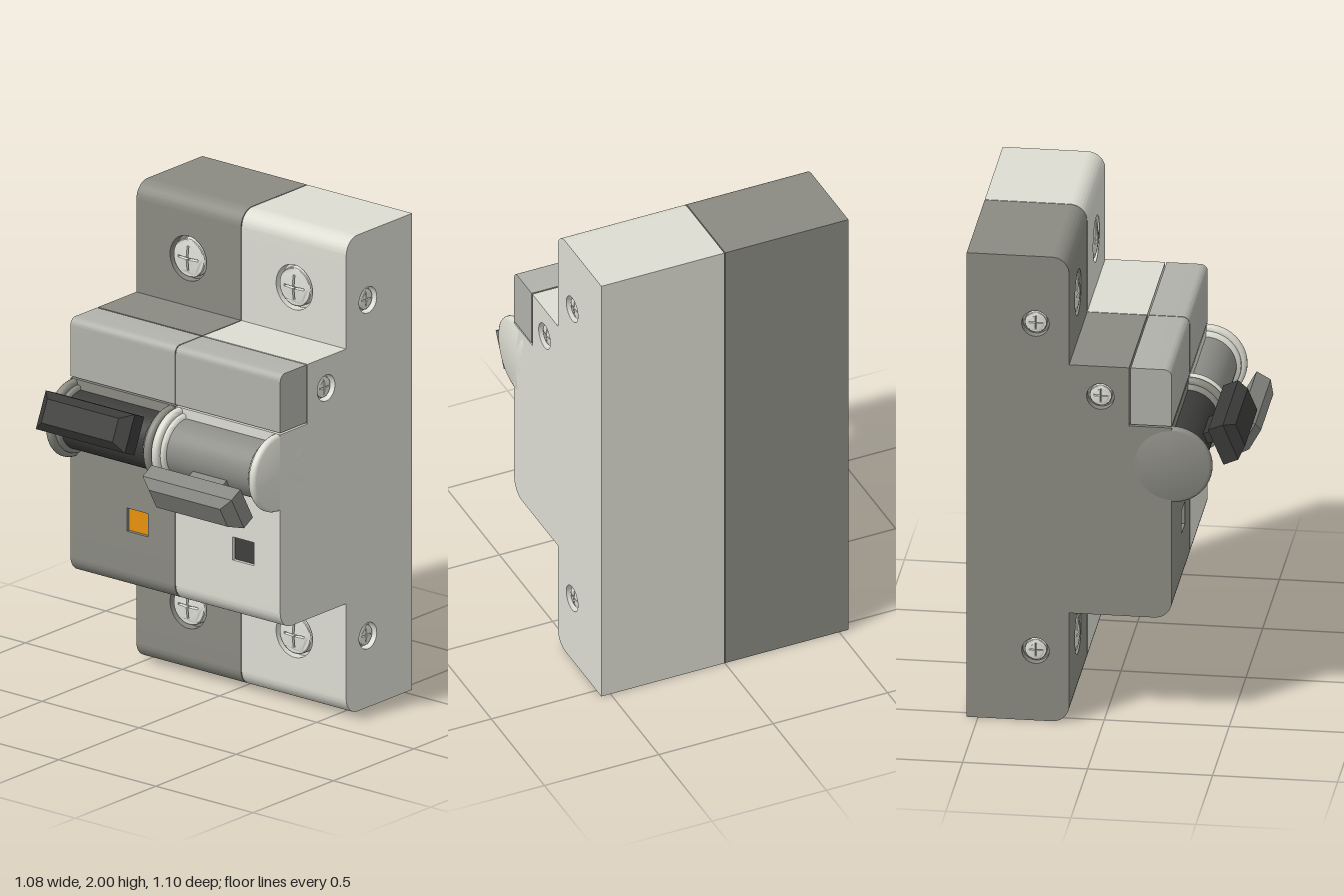
import * as THREE from 'three';
import { toCreasedNormals } from 'three/addons/utils/BufferGeometryUtils.js';

const W = 0.54, GAP = 0.002;           // module width, half the seam between modules
const BACK = -0.545, STEP = -0.135, FRONT = 0.275;
const AXIS_Y = 1.128;                  // height of the toggle axle (at z = FRONT)
const RECESS = 0.04;                   // thickness of the faceplates with openings
const SIDE_SCREWS = [[-0.27, 1.71], [-0.01, 1.41], [-0.27, 0.3]]; // z, y

function add(parent, name, geometry, color) {
  const mesh = new THREE.Mesh(geometry, new THREE.MeshStandardMaterial({ color }));
  mesh.name = name;
  parent.add(mesh);
  return mesh;
}

function circle(x, y, r) {
  return new THREE.Path().absarc(x, y, r, 0, Math.PI * 2, true);
}

function rect(Type, x0, y0, x1, y1) {
  return new Type([[x0, y0], [x1, y0], [x1, y1], [x0, y1]].map(p => new THREE.Vector2(...p)));
}

// Extrudes a (z, y) profile along x, from x0 to x1
function extrudeX(shape, x0, x1) {
  const geo = new THREE.ExtrudeGeometry(shape, { depth: x1 - x0, bevelEnabled: false, curveSegments: 16 });
  return toCreasedNormals(geo.rotateY(-Math.PI / 2).translate(x1, 0, 0), 0.5);
}

// Stepped side profile with shallow pockets where the faceplates sit
function bodyShape() {
  const s = new THREE.Shape();
  const r = 0.07, d = RECESS;
  s.moveTo(BACK, 0);
  s.lineTo(STEP - r, 0);
  s.absarc(STEP - r, r, r, -Math.PI / 2, 0, false);
  s.lineTo(STEP, 0.14);
  s.lineTo(STEP - d, 0.14);
  s.lineTo(STEP - d, 0.42);
  s.lineTo(STEP, 0.42);
  s.lineTo(STEP, 0.47);
  s.lineTo(FRONT - r, 0.47);
  s.absarc(FRONT - r, 0.47 + r, r, -Math.PI / 2, 0, false);
  s.lineTo(FRONT, 0.65);
  s.lineTo(FRONT - d, 0.65);
  s.lineTo(FRONT - d, 0.87);
  s.lineTo(FRONT, 0.87);
  s.lineTo(FRONT, 1.29);
  s.lineTo(0.105, 1.29);
  s.lineTo(0.105, 1.54);
  s.lineTo(STEP, 1.54);
  s.lineTo(STEP, 1.6);
  s.lineTo(STEP - d, 1.6);
  s.lineTo(STEP - d, 1.88);
  s.lineTo(STEP, 1.88);
  s.lineTo(STEP, 2 - r);
  s.absarc(STEP - r, 2 - r, r, 0, Math.PI / 2, false);
  s.lineTo(BACK, 2);
  for (const [z, y] of SIDE_SCREWS) s.holes.push(circle(z, y, 0.055));
  return s;
}

function blockShape() {
  const s = new THREE.Shape();
  s.moveTo(0.111, 1.297);
  s.lineTo(FRONT, 1.297);
  s.lineTo(FRONT, 1.51);
  s.absarc(FRONT - 0.03, 1.51, 0.03, 0, Math.PI / 2, false);
  s.lineTo(0.111, 1.54);
  return s;
}

// Domed cross-slot screw head facing +z, with its top near z = 0
function makeScrew(r) {
  const screw = new THREE.Group();
  screw.name = 'screw';
  const head = new THREE.Shape().absarc(0, 0, r * 0.94, 0, Math.PI * 2, false);
  const a = r * 0.68, b = r * 0.1;
  const cross = [[b, a], [b, b], [a, b], [a, -b], [b, -b], [b, -a], [-b, -a], [-b, -b],
    [-a, -b], [-a, b], [-b, b], [-b, a]].map(p => new THREE.Vector2(...p));
  head.holes.push(new THREE.Path(cross));
  const geo = new THREE.ExtrudeGeometry(head, {
    depth: r * 0.3, bevelThickness: r * 0.06, bevelSize: r * 0.06, bevelSegments: 2, curveSegments: 20,
  });
  const p = geo.attributes.position;
  for (let i = 0; i < p.count; i++) {
    if (p.getZ(i) > r * 0.2) {
      const q = (p.getX(i) ** 2 + p.getY(i) ** 2) / (r * r);
      p.setZ(i, p.getZ(i) + r * 0.18 * (1 - q));
    }
  }
  geo.translate(0, 0, -r * 0.5);
  geo.computeVertexNormals();
  add(screw, 'screwHead', toCreasedNormals(geo, 0.5), 0xdedfd5);
  add(screw, 'screwBase', new THREE.CylinderGeometry(r * 0.92, r * 0.92, r * 0.3, 40)
    .rotateX(Math.PI / 2).translate(0, 0, -r * 0.42), 0xc8c8be);
  return screw;
}

// Rounded flange stepping down to a collar; dir points towards the roller
function flangeGeometry(x, dir) {
  const pts = [[0, 0], [0.148, 0], [0.157, 0.004], [0.161, 0.012], [0.161, 0.024], [0.157, 0.032],
    [0.148, 0.036], [0.14, 0.036], [0.14, 0.048], [0.135, 0.053], [0, 0.053]];
  const geo = new THREE.LatheGeometry(pts.map(p => new THREE.Vector2(...p)), 48);
  geo.rotateZ(-dir * Math.PI / 2);
  return toCreasedNormals(geo.translate(x, AXIS_Y, FRONT), 0.9);
}

// Tilted toggle: chamfered grip on a short stem
function makeToggle(x, angle, color) {
  const toggle = new THREE.Group();
  toggle.name = 'toggle';
  const geo = new THREE.BoxGeometry(0.458, 0.158, 0.1, 1, 1, 2);
  const p = geo.attributes.position;
  for (let i = 0; i < p.count; i++) {
    const z = p.getZ(i);
    if (z > 0.04) p.setXY(i, p.getX(i) * 0.8, p.getY(i) * 0.62);
    else if (z > -0.04) p.setZ(i, 0.014);
  }
  geo.translate(0, 0, 0.236);
  add(toggle, 'toggleGrip', toCreasedNormals(geo, 0.2), color);
  add(toggle, 'toggleStem', new THREE.BoxGeometry(0.175, 0.045, 0.1).translate(0, 0, 0.145), color);
  toggle.position.set(x, AXIS_Y, FRONT);
  toggle.rotation.x = -angle;
  return toggle;
}

function makeModule(o) {
  const g = new THREE.Group();
  g.name = o.name;
  const x0 = o.side > 0 ? GAP : -W, x1 = x0 + W - GAP;
  const cx = o.side * 0.273;

  add(g, 'body', extrudeX(bodyShape(), x0, x1), o.body);
  add(g, 'upperBlock', extrudeX(blockShape(), x0, x1), 0xb0b1aa);

  // Faceplates that fill the pockets around their openings
  const plate = (name, y0, y1, zFront, hole) => {
    const s = rect(THREE.Shape, x0, y0, x1, y1);
    s.holes.push(hole);
    const geo = new THREE.ExtrudeGeometry(s, { depth: RECESS, bevelEnabled: false, curveSegments: 24 });
    add(g, name, toCreasedNormals(geo.translate(0, 0, zFront - RECESS), 0.5), o.body);
  };
  const terminals = [['lowerTerminal', 0.14, 0.42, 0.28], ['upperTerminal', 1.6, 1.88, 1.74]];
  for (const [name, y0, y1, y] of terminals) {
    plate(name + 'Plate', y0, y1, STEP, circle(cx, y, 0.094));
    const screw = makeScrew(0.081);
    screw.position.set(cx, y, STEP + 0.006);
    g.add(screw);
  }

  // Status window
  plate('windowPlate', 0.65, 0.87, FRONT, rect(THREE.Path, o.window - 0.055, 0.71, o.window + 0.055, 0.807));
  add(g, 'statusWindow', new THREE.BoxGeometry(0.11, 0.097, 0.03)
    .translate(o.window, 0.7585, FRONT - 0.03), o.windowColor);

  // Recessed screws on the outer side
  const wellLength = W - GAP - 0.035;
  for (const [z, y] of SIDE_SCREWS) {
    add(g, 'screwWell', new THREE.CylinderGeometry(0.055, 0.055, wellLength, 32)
      .rotateZ(Math.PI / 2).translate(o.side * (GAP + wellLength / 2), y, z), o.body);
    const screw = makeScrew(0.044);
    screw.position.set(o.side * (W - 0.008), y, z);
    screw.rotation.y = o.side * Math.PI / 2;
    g.add(screw);
  }

  // Axle assembly and toggle
  add(g, 'innerFlange', flangeGeometry(o.side * GAP, o.side), o.body);
  add(g, 'outerFlange', flangeGeometry(o.side * W, -o.side), o.body);
  add(g, 'roller', new THREE.CylinderGeometry(0.122, 0.122, 0.45, 48)
    .rotateZ(Math.PI / 2).translate(cx, AXIS_Y, FRONT), o.roller);
  g.add(makeToggle(o.side * 0.273, o.angle, o.toggle));
  return g;
}

export function createModel() {
  const model = new THREE.Group();
  model.name = 'twinCircuitBreaker';
  model.add(makeModule({
    name: 'darkModule', side: -1, body: 0x8a8a82, roller: 0x3c3c3b, toggle: 0x3a3a39,
    angle: 0.4, window: -0.195, windowColor: 0xe8920c,
  }));
  model.add(makeModule({
    name: 'lightModule', side: 1, body: 0xdcdcd2, roller: 0x8c8d87, toggle: 0x858681,
    angle: -0.51, window: 0.35, windowColor: 0x3f3f3e,
  }));
  return model;
}
